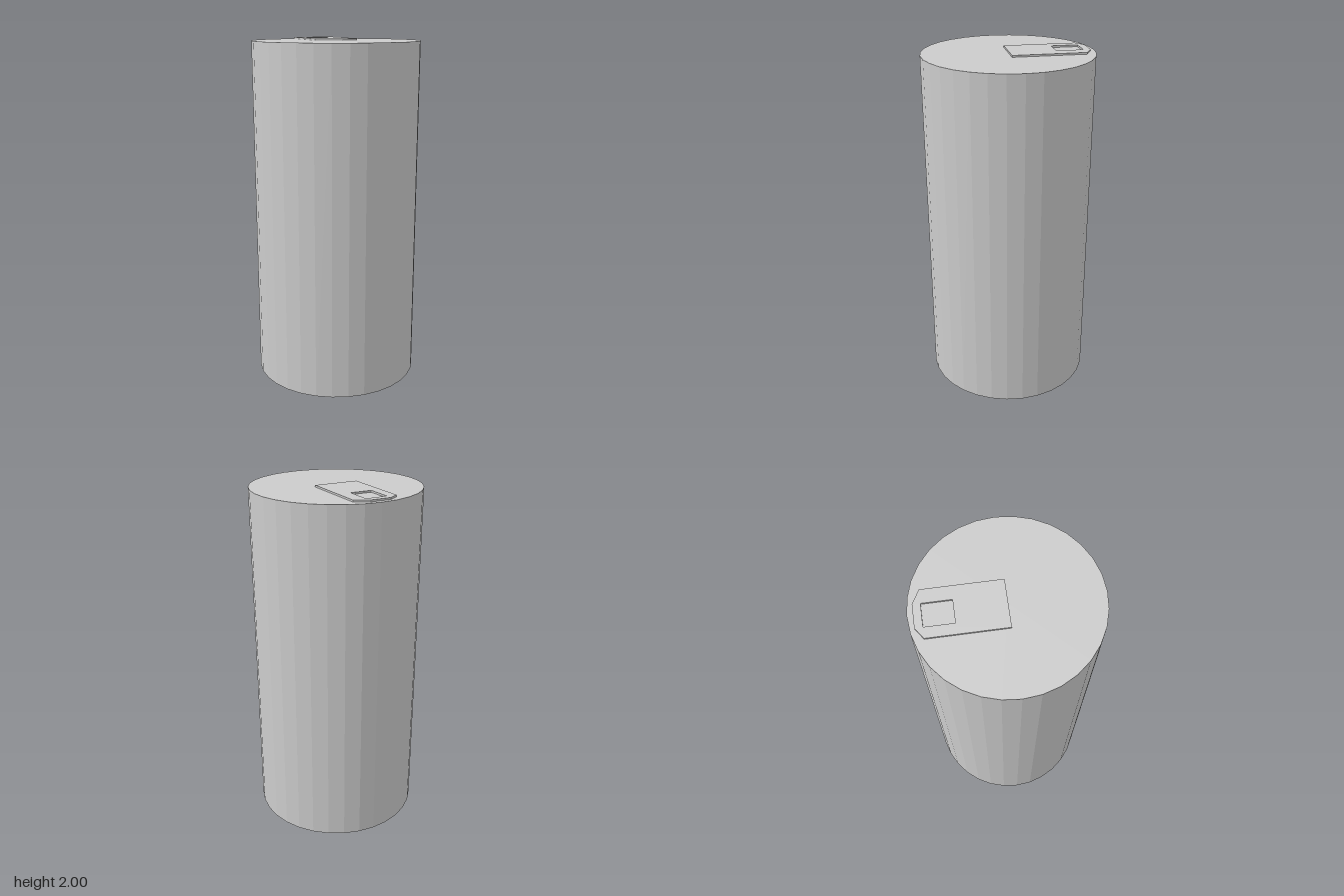
import * as THREE from 'three';

const RADIUS = 0.48;
const BODY_HEIGHT = 1.99;
const TAB_THICKNESS = 0.01;

const points = (list) => list.map(([x, y]) => new THREE.Vector2(x, y));

export function createModel() {
  const group = new THREE.Group();
  group.name = 'can';
  const material = new THREE.MeshStandardMaterial({ color: 0xcccccc, flatShading: true });

  // Faceted cylindrical body with closed ends
  const bodyGeometry = new THREE.CylinderGeometry(RADIUS, RADIUS, BODY_HEIGHT, 32);
  bodyGeometry.translate(0, BODY_HEIGHT / 2, 0);
  const body = new THREE.Mesh(bodyGeometry, material);
  body.name = 'body';
  group.add(body);

  // Flat pull tab: chamfered at the rim end, with a rectangular finger hole
  const tabShape = new THREE.Shape(points([
    [-0.128, -0.002], [0.127, -0.002], [0.127, 0.41],
    [0.053, 0.45], [-0.07, 0.45], [-0.128, 0.41],
  ]));
  tabShape.holes.push(new THREE.Path(points([
    [-0.07, 0.257], [-0.07, 0.409], [0.053, 0.409], [0.053, 0.257],
  ])));
  const tabGeometry = new THREE.ExtrudeGeometry(tabShape, { depth: TAB_THICKNESS, bevelEnabled: false });
  tabGeometry.rotateX(-Math.PI / 2);
  const tab = new THREE.Mesh(tabGeometry, material);
  tab.name = 'pullTab';
  tab.position.y = BODY_HEIGHT;
  group.add(tab);

  return group;
}
